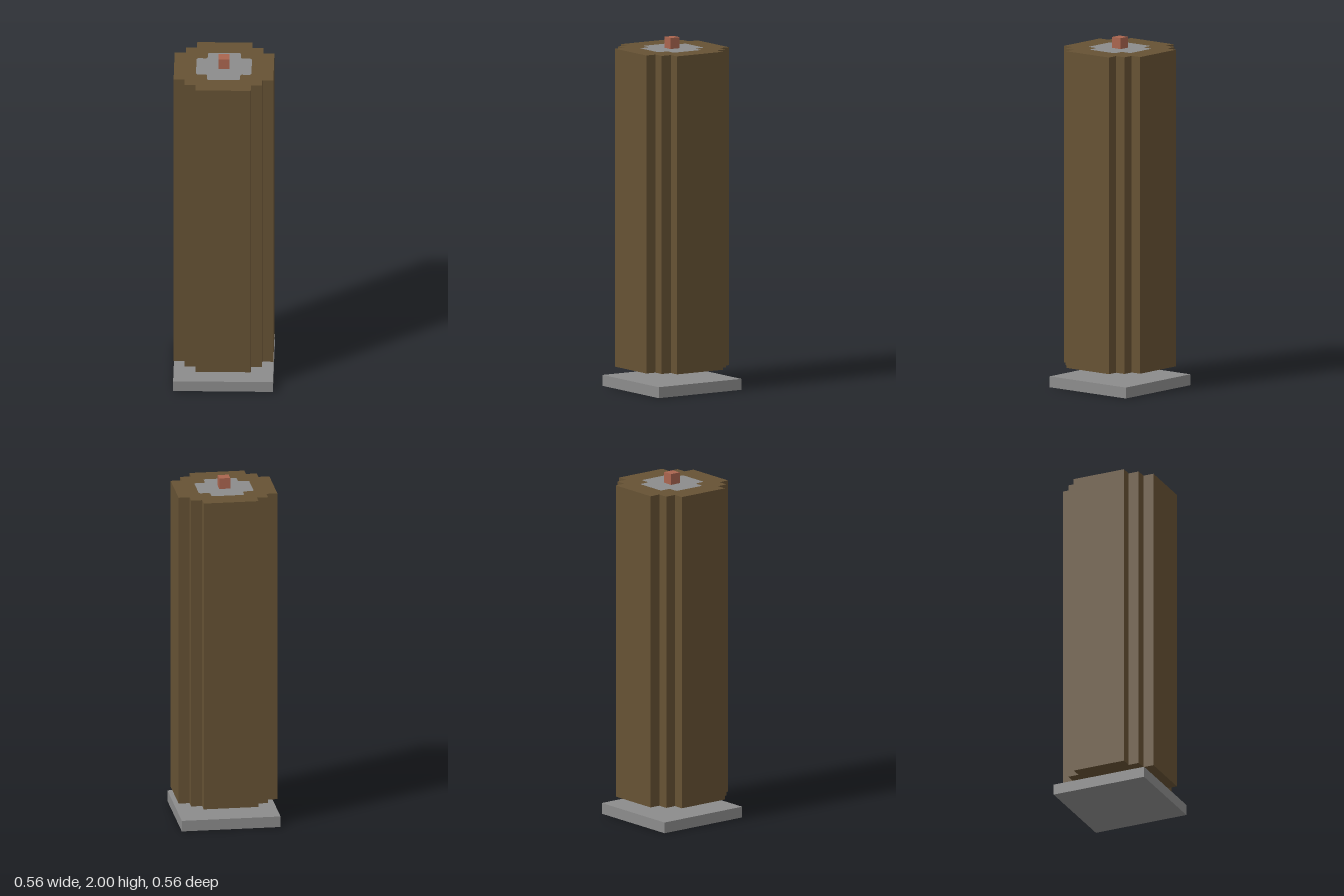
import * as THREE from 'three';

const UNIT = 0.0625; // one block

// Four-fold symmetric outline from the corner points of one quadrant.
function quarterTurns(quadrant) {
  const points = [];
  for (let turn = 0; turn < 4; turn++) {
    for (const [x, y] of quadrant) {
      points.push(new THREE.Vector2(x, y).rotateAround(new THREE.Vector2(), turn * Math.PI / 2));
    }
  }
  return points;
}

// Upright prism standing at the given height.
function prism(shape, bottom, height) {
  return new THREE.ExtrudeGeometry(shape, { depth: height, bevelEnabled: false })
    .rotateX(-Math.PI / 2)
    .translate(0, bottom, 0);
}

export function createModel() {
  const group = new THREE.Group();
  const colour = (name, color) => {
    const material = new THREE.MeshStandardMaterial({ color });
    material.name = name;
    return material;
  };
  const brown = colour('brown', 0x665234);
  const grey = colour('grey', 0x8c8c8c);
  const rust = colour('rust', 0xaa654f);

  const add = (name, geometry, material) => {
    const mesh = new THREE.Mesh(geometry, material);
    mesh.name = name;
    group.add(mesh);
  };

  // Square base slab, with an open gap above it
  add('base', new THREE.BoxGeometry(9 * UNIT, UNIT, 9 * UNIT).translate(0, UNIT / 2, 0), grey);

  // Column with stepped corners around a cross-shaped core
  const a = 2.5 * UNIT, b = 3.5 * UNIT, c = 4.5 * UNIT;
  const outline = quarterTurns([[c, a], [b, a], [b, b], [a, b], [a, c], [-a, c]].slice(0, 5));
  const i = 1.5 * UNIT, o = 2.5 * UNIT, n = 0.008; // n: small softened corners
  const cross = quarterTurns([[o, i - n], [o - n, i], [i + n, i], [i, i + n], [i, o - n], [i - n, o]]);

  const shell = new THREE.Shape(outline);
  shell.holes.push(new THREE.Path(cross));
  add('column', prism(shell, 2 * UNIT, 29 * UNIT), brown);
  add('core', prism(new THREE.Shape(cross), 2 * UNIT, 29 * UNIT), grey);

  // Small block on top
  add('topBlock', new THREE.BoxGeometry(UNIT, UNIT, UNIT).translate(0, 31.5 * UNIT, 0), rust);

  return group;
}
